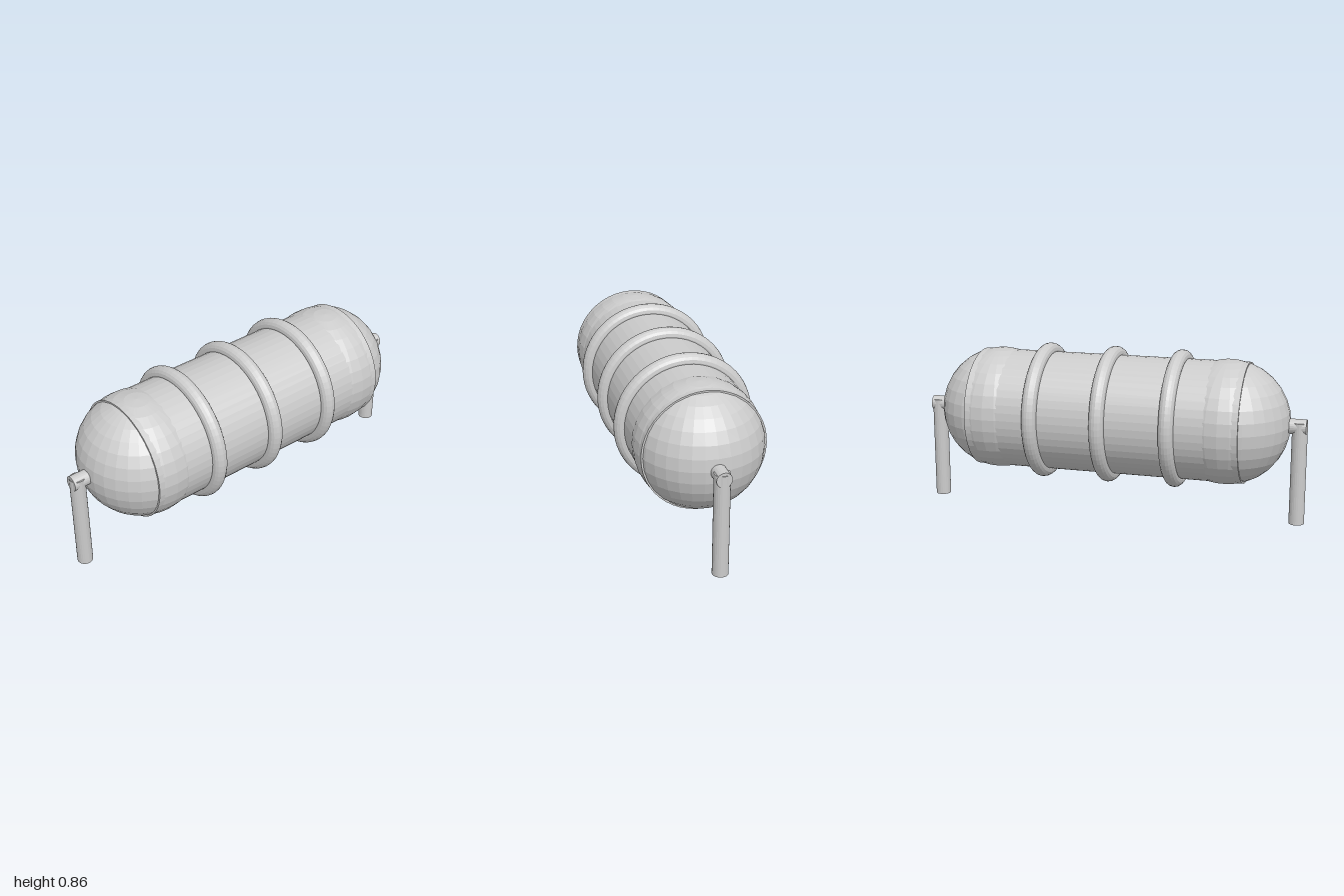
import * as THREE from 'three';

export function createModel() {
  const model = new THREE.Group();
  const material = new THREE.MeshStandardMaterial({ color: 0xcccccc, flatShading: true });
  const axisY = 0.505; // height of the tank's long axis

  const add = (name, geometry, x, y) => {
    const mesh = new THREE.Mesh(geometry, material);
    mesh.name = name;
    mesh.position.set(x, y, 0);
    model.add(mesh);
    return mesh;
  };

  // Long horizontal tank body
  add('tankBody', new THREE.CylinderGeometry(0.306, 0.306, 1.4, 48).rotateZ(Math.PI / 2), 0, axisY);

  // Reinforcing hoops around the body
  for (const x of [-0.35, 0, 0.35]) {
    add('hoop', new THREE.TorusGeometry(0.312, 0.038, 16, 64).rotateY(Math.PI / 2), x, axisY);
  }

  // Rounded end, short axle peg and standing post on each side
  for (const [side, s] of [['left', 1], ['right', -1]]) {
    add(side + 'Dome', new THREE.SphereGeometry(0.315, 32, 16), s * 0.6, axisY);
    add(side + 'Peg', new THREE.CylinderGeometry(0.038, 0.038, 0.155, 24).rotateZ(Math.PI / 2), s * 0.918, 0.503);
    add(side + 'Post', new THREE.CylinderGeometry(0.039, 0.039, 0.525, 24), s * 0.961, 0.2625);
  }

  return model;
}
